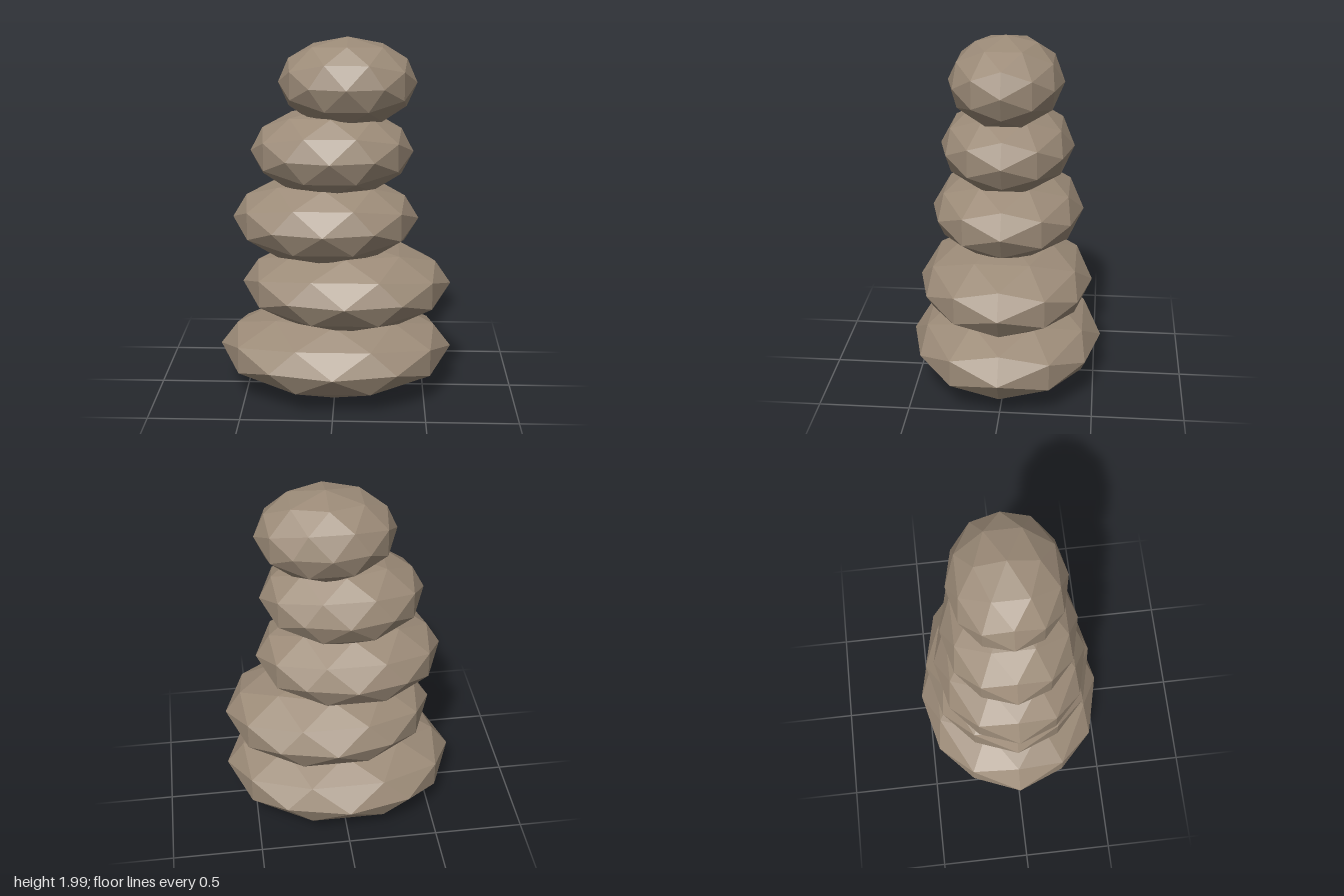
import * as THREE from 'three';

export function createModel() {
  const group = new THREE.Group();
  group.name = 'stoneStack';
  const stone = new THREE.MeshStandardMaterial({ color: 0x9c8b78, flatShading: true });
  stone.name = 'warmGreyStone';

  // Stones from bottom to top: sideways offset, half width, half depth
  const stones = [
    [0, 0.654, 0.535],
    [0.062, 0.583, 0.479],
    [-0.055, 0.514, 0.421],
    [-0.02, 0.445, 0.365],
    [0.065, 0.375, 0.31],
  ];
  const halfHeight = 0.243;
  const spacing = 0.377;

  stones.forEach(([x, halfWidth, halfDepth], i) => {
    // Flattened, faceted pebble
    const geometry = new THREE.IcosahedronGeometry(1, 1);
    geometry.rotateY(Math.PI / 2);
    geometry.scale(halfWidth, halfHeight, halfDepth);
    const mesh = new THREE.Mesh(geometry, stone);
    mesh.name = `stone${i + 1}`;
    mesh.position.set(x, 0.249 + i * spacing, 0);
    group.add(mesh);
  });

  return group;
}
